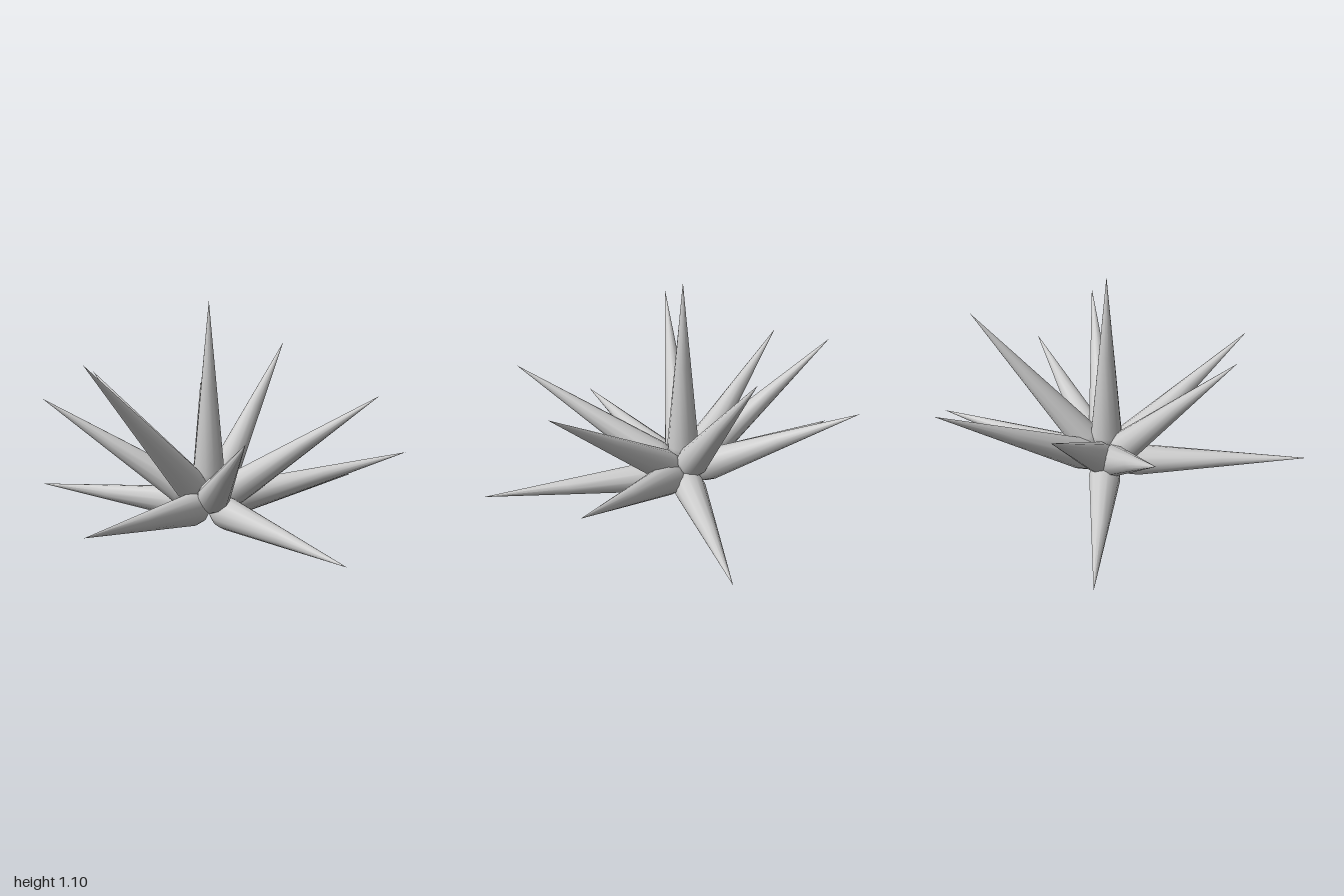
import * as THREE from 'three';

const CENTRE = new THREE.Vector3(0, 0.086, 0);

// Tip of every spike
const TIPS = [
  [0, 1.1, 0],
  [0.2, 0.1, -0.99],
  [0.74, 0.355, -0.63],
  [0.77, 0.675, -0.31],
  [0.97, 0.035, 0.25],
  [0.68, 0.57, 0.575],
  [0.165, 0.175, 0.99],
  [-0.18, 0.835, 0.66],
  [-0.735, 0.6, 0.43],
  [-0.98, 0.085, 0.23],
  [-0.82, 0.69, 0],
  [-0.605, 0.585, -0.64],
  [-0.05, 0.845, -0.68],
];

export function createModel() {
  const model = new THREE.Group();
  model.name = 'spikyRosette';
  const material = new THREE.MeshStandardMaterial({ color: 0xcccccc });

  // Spindle of unit length: narrow root, swollen shoulder, long straight taper
  const profile = [[0, 0], [0.052, 0.07], [0.074, 0.12], [0.079, 0.165], [0.04, 0.58], [0, 1]]
    .map(([r, y]) => new THREE.Vector2(r, y));
  const spindle = new THREE.LatheGeometry(profile, 12);

  const up = new THREE.Vector3(0, 1, 0);
  TIPS.forEach((tip, i) => {
    const axis = new THREE.Vector3(...tip).sub(CENTRE);
    const spike = new THREE.Mesh(spindle, material);
    spike.name = i === 0 ? 'centralSpike' : `spike${i}`;
    spike.position.copy(CENTRE);
    spike.scale.y = axis.length();
    spike.quaternion.setFromUnitVectors(up, axis.normalize());
    model.add(spike);
  });
  return model;
}
